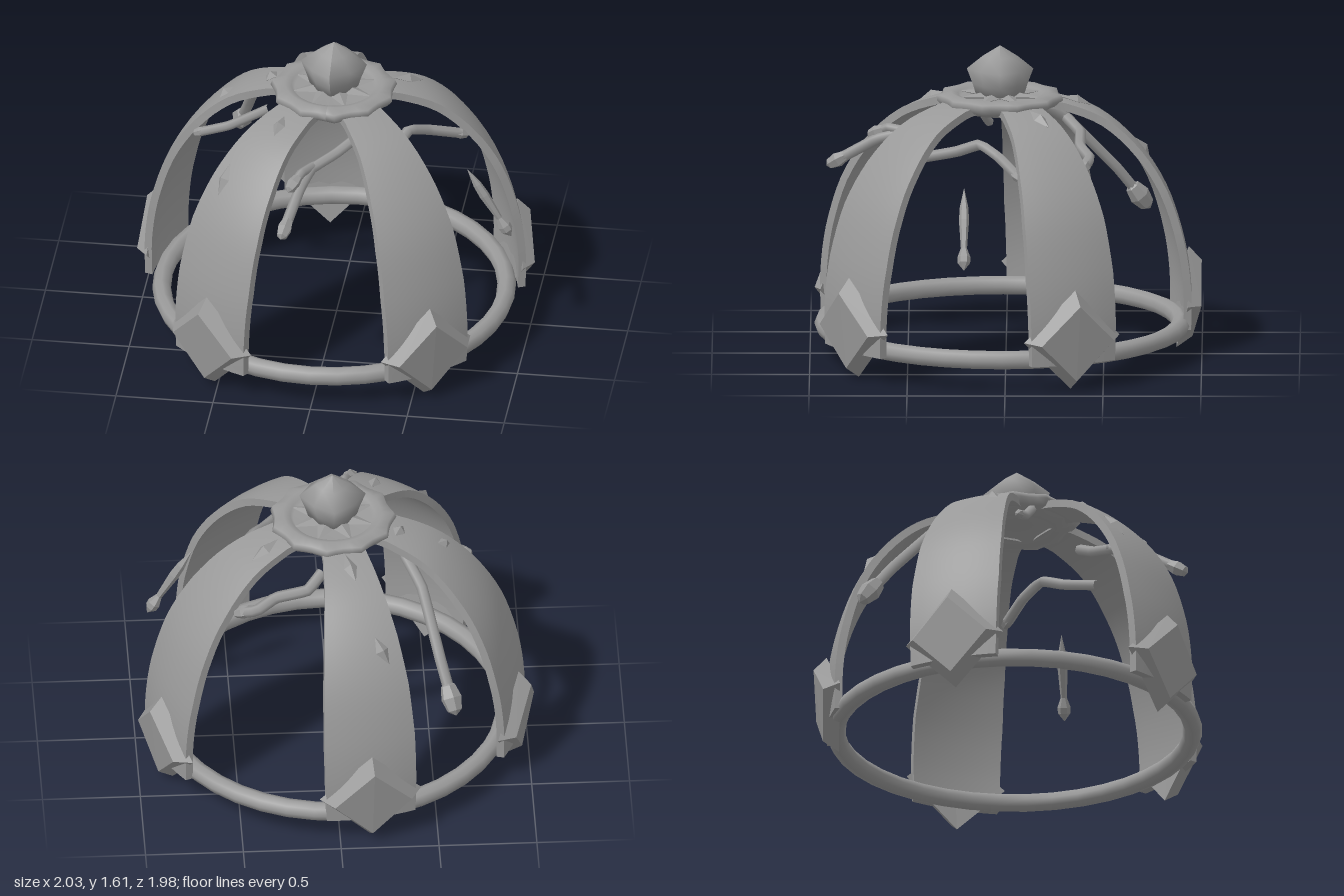
import * as THREE from 'three';

const RAD = Math.PI / 180;
const strapAngles = [-99, -23.5, 52, 124, 196];

const points = list => list.map(([r, y]) => new THREE.Vector2(r, y));

// Dome profile: radius and height from crown down to rim
const dome = new THREE.SplineCurve(points([
  [0.16, 1.345], [0.31, 1.33], [0.52, 1.25], [0.7, 1.09], [0.835, 0.88],
  [0.92, 0.62], [0.955, 0.38], [0.955, 0.16],
]));

const halfWidths = [0.1, 0.115, 0.15, 0.19, 0.22, 0.235, 0.235, 0.23];

// Hard-edged version of a geometry
function facet(geo) {
  const flat = geo.index ? geo.toNonIndexed() : geo;
  flat.computeVertexNormals();
  return flat;
}

// Runs fn(x, y, z) on each vertex and stores the returned position
function bend(geo, fn) {
  const pos = geo.attributes.position;
  for (let i = 0; i < pos.count; i++) {
    pos.setXYZ(i, ...fn(pos.getX(i), pos.getY(i), pos.getZ(i)));
  }
  geo.computeVertexNormals();
  return geo;
}

// Curved tapering band made by bending a box over the dome
function strapGeometry() {
  return bend(new THREE.BoxGeometry(1, 1, 1, 8, 28, 1), (x, y, z) => {
    const t = 0.5 - y;
    const k = Math.min(t * 7, 6.999), n = Math.floor(k);
    const lat = x * 2 * THREE.MathUtils.lerp(halfWidths[n], halfWidths[n + 1], k - n);
    const p = dome.getPoint(t), d = dome.getTangent(t);
    const off = z * 0.04 - lat * lat * 0.45;
    return [lat, p.y + d.x * off, p.x - d.y * off];
  });
}

// Diamond with a flat face and a bevel, its side corners drawn in a little
function diamondGeometry() {
  const geo = new THREE.CylinderGeometry(0.2, 0.265, 0.075, 4, 1).rotateX(Math.PI / 2);
  return facet(bend(geo, (x, y, z) => [x, y, z - x * x * 0.2]));
}

export function createModel() {
  const metal = new THREE.MeshStandardMaterial({ color: 0x999999 });
  metal.name = 'greyMetal';

  const model = new THREE.Group();
  const crown = new THREE.Group();
  crown.name = 'crown';
  crown.position.set(-0.01, 0, 0.03);
  model.add(crown);

  const add = (parent, name, geo) => {
    const mesh = new THREE.Mesh(geo, metal);
    mesh.name = name;
    parent.add(mesh);
    return mesh;
  };

  // Base ring, a touch deeper than wide
  const ringGeo = new THREE.TorusGeometry(0.88, 0.048, 8, 40).rotateX(Math.PI / 2).scale(1, 1, 1.035);
  add(crown, 'baseRing', ringGeo).position.set(0, 0.18, -0.012);

  // Five straps, each with a bevelled diamond at its foot
  const strapGeo = strapGeometry();
  const diamondGeo = diamondGeometry();
  for (const a of strapAngles) {
    const arm = new THREE.Group();
    arm.name = 'strapArm';
    arm.rotation.y = Math.PI / 2 - a * RAD;
    crown.add(arm);
    add(arm, 'strap', strapGeo);
    const diamond = add(arm, 'diamondPlate', diamondGeo);
    diamond.position.set(0, 0.28, 0.98);
    diamond.rotation.x = 0.12;
  }

  // Crown disc with a raised, pointed rim and a hollow underside
  const disc = new THREE.LatheGeometry(points([
    [0.001, 1.335], [0.17, 1.335], [0.2, 1.295], [0.28, 1.325], [0.305, 1.355], [0.295, 1.38],
    [0.25, 1.392], [0.215, 1.38], [0.2, 1.365], [0.001, 1.365],
  ]), 44);
  add(crown, 'crownDisc', bend(disc, (x, y, z) => {
    const wave = Math.abs(Math.cos(Math.atan2(z, x) * 5.5));
    const s = Math.hypot(x, z) < 0.27 ? 1 : 1.07 - 0.08 * wave;
    return [x * s, y, z * s];
  }));

  // Star of small spikes around the gem
  const spikeGeo = facet(new THREE.ConeGeometry(0.05, 0.14, 4).rotateX(Math.PI / 2).scale(1, 0.4, 1));
  for (let i = 0; i < 8; i++) {
    const a = (i + 0.5) * Math.PI / 4;
    const spike = add(crown, 'starSpike', spikeGeo);
    spike.position.set(Math.cos(a) * 0.16, 1.375, Math.sin(a) * 0.16);
    spike.rotation.y = Math.PI / 2 - a;
  }

  // Top gem, squarish in plan
  const gem = new THREE.LatheGeometry(points([
    [0.001, 1.37], [0.125, 1.38], [0.14, 1.43], [0.17, 1.51], [0.09, 1.575], [0.001, 1.63],
  ]), 8);
  add(crown, 'topGem', bend(gem, (x, y, z) => {
    const s = Math.abs(x * z) > 0.002 ? 0.84 : 1;
    return [x * s, y, z * s];
  }));

  // Small leaf-shaped studs lying on the straps: x, z, length, turn
  const studs = [
    [-0.22, -0.68, 0.08, 0.3], [-0.08, -0.35, 0.09, 0.1], [0.34, -0.17, 0.09, 0.1],
    [-0.56, -0.05, 0.05, 0.7], [-0.34, -0.07, 0.05, 1.4], [-0.49, 0.55, 0.09, 0.2],
    [-0.24, 0.37, 0.07, 0.3],
  ];
  for (const [x, z, len, turn] of studs) {
    const lx = x + 0.01, lz = z - 0.03, r = Math.hypot(lx, lz);
    let t = 0;
    while (t < 1 && dome.getPoint(t).x < r) t += 0.01;
    const p = dome.getPoint(t), d = dome.getTangent(t);
    const cx = lx / r, cz = lz / r;
    const normal = new THREE.Vector3(-d.y * cx, d.x, -d.y * cz);
    const down = new THREE.Vector3(d.x * cx, d.y, d.x * cz).applyAxisAngle(normal, turn);
    const side = new THREE.Vector3().crossVectors(down, normal);
    const stud = add(crown, 'leafStud', facet(new THREE.OctahedronGeometry(1).scale(0.035, len, 0.03)));
    stud.quaternion.setFromRotationMatrix(new THREE.Matrix4().makeBasis(side, down, normal));
    stud.position.set(lx, p.y, lz).addScaledVector(normal, 0.022);
  }

  // Crooked twigs between the straps, each ending in a bud
  const twigs = [
    { r: 0.029, bud: 0.055, pts: [[-0.37, 1.25, -0.16], [-0.45, 1.15, -0.31], [-0.53, 0.88, -0.56], [-0.58, 0.72, -0.68]] },
    { r: 0.028, bud: 0.04, pts: [[0.15, 1.26, 0.34], [0.05, 1.2, 0.42], [-0.06, 1.16, 0.52], [-0.1, 1.12, 0.66], [-0.15, 1.0, 0.86]] },
    { r: 0.024, bud: 0.035, pts: [[-0.05, 1.17, 0.5], [-0.1, 1.18, 0.6], [-0.13, 1.15, 0.66]] },
    { r: 0.028, bud: 0.03, pts: [[0.24, 1.1, 0.42], [0.33, 1.15, 0.25], [0.39, 1.2, 0.13], [0.48, 1.15, 0.03], [0.63, 1.09, -0.06]] },
    { r: 0.03, bud: 0.035, pts: [[0.06, 1.27, -0.31], [0.14, 1.21, -0.38], [0.3, 1.17, -0.38], [0.4, 1.13, -0.43], [0.47, 1.1, -0.4]] },
    { r: 0.024, bud: 0.025, pts: [[-0.33, 1.27, 0.13], [-0.54, 1.14, 0.11], [-0.69, 1.08, 0.09]] },
  ];
  const up = new THREE.Vector3(0, 1, 0);
  for (const { r, bud, pts } of twigs) {
    const path = new THREE.CatmullRomCurve3(pts.map(p => new THREE.Vector3(...p)), false, 'catmullrom', 0.15);
    add(model, 'twig', new THREE.TubeGeometry(path, 16, r, 6));
    const tip = add(model, 'twigBud', facet(new THREE.SphereGeometry(1, 6, 4).scale(bud, bud * 1.7, bud)));
    tip.position.copy(path.getPoint(1));
    tip.quaternion.setFromUnitVectors(up, path.getTangent(1));
  }

  // Loose hanging thorn at the side
  const thorn = add(model, 'hangingThorn', facet(new THREE.LatheGeometry(points([
    [0.001, -0.22], [0.032, -0.18], [0.034, -0.15], [0.016, -0.1], [0.026, 0.05], [0.022, 0.12], [0.001, 0.22],
  ]), 6)));
  thorn.position.set(0.815, 0.85, 0.21);
  thorn.rotation.z = 0.54;

  return model;
}
